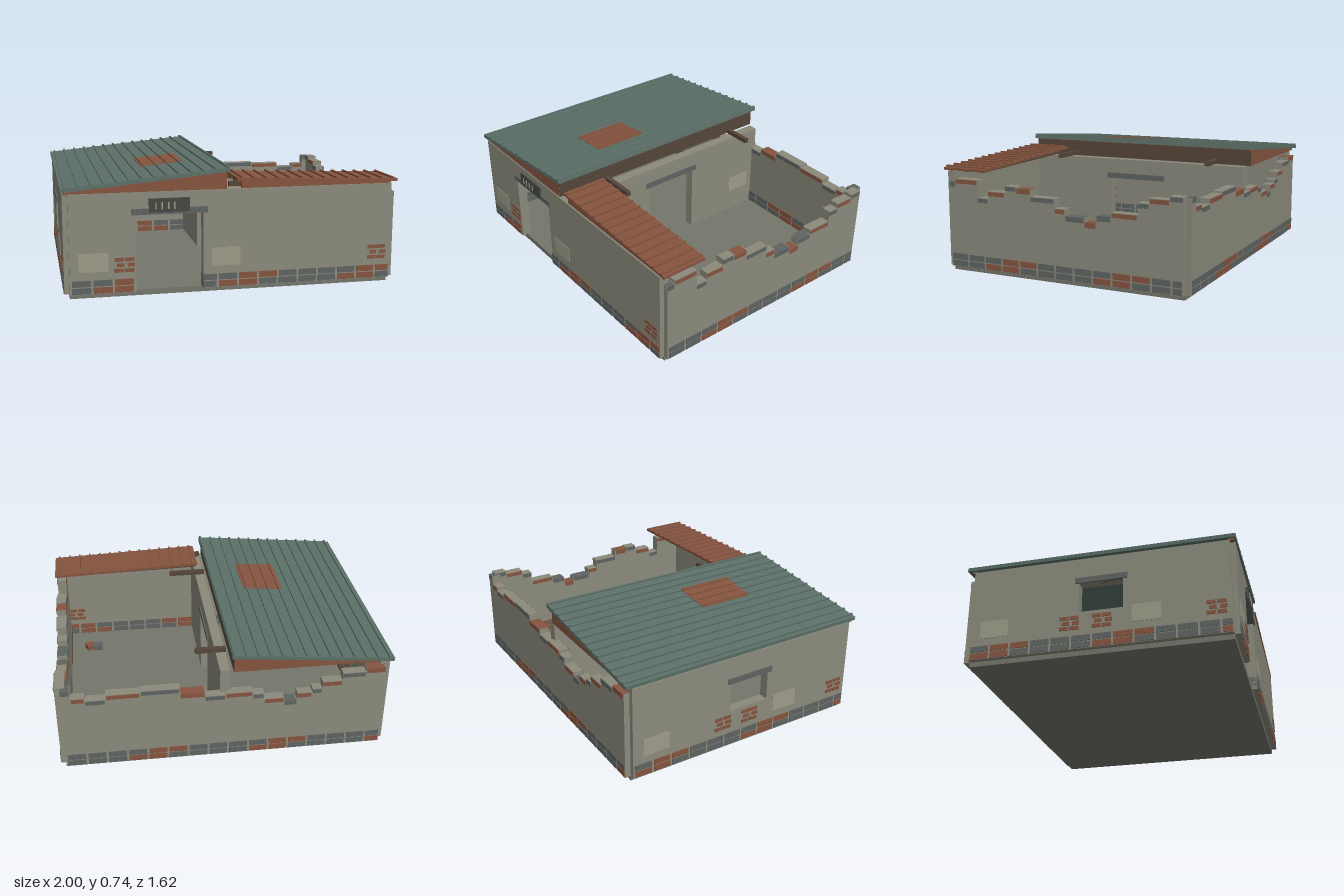
import * as THREE from 'three';

const mats = {};
const mat = (c) => (mats[c] ??= new THREE.MeshStandardMaterial({ color: c, flatShading: true, side: THREE.DoubleSide }));
const WALL = 0x8b8a7c, FLOOR = 0x74756b, RED = 0x85543f, GREY = 0x5e6462, GREEN = 0x5c7068,
  BROWN = 0x55453a, DARK = 0x454840, PALE = 0x9c9b89;

// Box given by its limits on each axis
function block(parent, name, color, x0, x1, y0, y1, z0, z1) {
  const m = new THREE.Mesh(new THREE.BoxGeometry(x1 - x0, y1 - y0, z1 - z0), mat(color));
  m.position.set((x0 + x1) / 2, (y0 + y1) / 2, (z0 + z1) / 2);
  m.name = name;
  parent.add(m);
  return m;
}

// Outline in x and y, extruded along z
function prism(parent, name, color, points, z0, z1) {
  const shape = new THREE.Shape(points.map(([x, y]) => new THREE.Vector2(x, y)));
  const m = new THREE.Mesh(new THREE.ExtrudeGeometry(shape, { depth: z1 - z0, bevelEnabled: false }), mat(color));
  m.position.z = z0;
  m.name = name;
  parent.add(m);
  return m;
}

const T = 0.03; // half the wall thickness
const Y0 = 0.03; // top of the base slab

// Wall frame: local x runs along the wall, local z points outwards
function wallGroup(parent, name, x, z, turn) {
  const g = new THREE.Group();
  g.name = name;
  g.position.set(x, 0, z);
  g.rotation.y = turn;
  parent.add(g);
  return g;
}

// Two courses of bricks through the foot of a wall, leaving out a gap
function courses(g, half, seed, gap = [9, 9]) {
  for (let row = 0; row < 2; row++) {
    const y = 0.033 + row * 0.042;
    for (let i = 0, u = -half + 0.012; u < half - 0.02; u += 0.1215, i++) {
      const end = Math.min(u + 0.108, half - 0.005);
      const red = (i * 5 + row * 7 + seed) % 6 < 2;
      const parts = [[u, Math.min(end, gap[0])], [Math.max(u, gap[1]), end]];
      for (const [a, b] of parts)
        if (b - a > 0.012) block(g, 'courseBrick', red ? RED : GREY, a, b, y, y + 0.036, -T - 0.004, T + 0.004);
    }
  }
}

// Small cluster of exposed bricks
function brickPatch(g, u, y = 0.15, d = T) {
  for (let r = 0; r < 3; r++)
    for (let k = 0; k < 2; k++) {
      const a = u + k * 0.06 + (r === 1 ? 0.015 : 0);
      block(g, 'exposedBrick', RED, a, a + (r === 1 ? 0.042 : 0.053), y + r * 0.032, y + r * 0.032 + 0.022, -d - 0.004, d + 0.004);
    }
}

const plaster = (g, u, y = 0.16) => block(g, 'plasterPatch', PALE, u, u + 0.17, y, y + 0.108, T - 0.01, T + 0.003);

// Solid wall with one opening and a lintel over it
function openWall(g, half, top, a, b, sill, head, lintelDepth) {
  block(g, 'wall', WALL, -half, a, Y0, top, -T, T);
  block(g, 'wall', WALL, b, half, Y0, top, -T, T);
  block(g, 'wallOverOpening', WALL, a, b, head, top, -T, T);
  if (sill > Y0) block(g, 'wallUnderOpening', WALL, a, b, Y0, sill, -T, T);
  block(g, 'lintel', GREY, a - 0.025, b + 0.025, head, head + 0.035, -T - lintelDepth, T + lintelDepth);
}

// Broken wall: steps of [end, top], each capped with a loose brick
function brokenWall(g, start, steps) {
  let u = start;
  const outline = [[start, Y0]];
  steps.forEach(([end, top], i) => {
    outline.push([u, top], [end, top]);
    const colored = top < 0.41 || i % 5 === 0;
    block(g, 'capBrick', i % 2 ? RED : GREY, u + 0.003, end - 0.006, top - 0.028, top + (colored ? 0.002 : -0.003), -T - 0.004, T + 0.004);
    u = end;
  });
  outline.push([u, Y0]);
  prism(g, 'brokenWall', WALL, outline, -T, T);
}

// Sloping sheet with ribs along z; the slope runs from (x0,y0) to (x1,y1) along its underside
function ribbedRoof(parent, name, color, x0, y0, x1, y1, z0, z1, thick) {
  const g = new THREE.Group();
  g.name = name;
  g.position.set(x0, y0, 0);
  g.rotation.z = Math.atan2(y1 - y0, x1 - x0);
  const len = Math.hypot(x1 - x0, y1 - y0);
  block(g, 'roofSheet', color, 0, len, 0, thick, z0, z1);
  for (let u = 0.03; u < len; u += 0.0715)
    block(g, 'roofRib', color, u - 0.006, u + 0.006, thick - 0.002, thick + 0.01, z0, z1);
  parent.add(g);
  return g;
}

export function createModel() {
  const model = new THREE.Group();
  model.name = 'ruinedHouse';
  block(model, 'baseSlab', FLOOR, -0.96, 0.96, 0, Y0 + 0.004, -0.765, 0.765);

  // Front wall with doorway, vent and patches
  const front = wallGroup(model, 'frontWall', 0, 0.765, 0);
  openWall(front, 0.96, 0.61, -0.58, -0.19, Y0, 0.48, 0.008);
  courses(front, 0.96, 2, [-0.58, -0.19]);
  plaster(front, -0.91);
  plaster(front, -0.14);
  brickPatch(front, -0.705);
  brickPatch(front, 0.82);
  block(front, 'ventPanel', DARK, -0.505, -0.27, 0.492, 0.572, 0, T + 0.012);
  for (let i = 0; i < 4; i++)
    block(front, 'ventBar', PALE, -0.47 + i * 0.036, -0.462 + i * 0.036, 0.51, 0.55, T, T + 0.016);

  // Left wall with window
  const left = wallGroup(model, 'leftWall', -0.96, 0, -Math.PI / 2);
  openWall(left, 0.765, 0.609, -0.11, 0.15, 0.26, 0.445, 0.008);
  courses(left, 0.765, 1);
  plaster(left, -0.7);
  plaster(left, 0.2);
  brickPatch(left, -0.22);
  brickPatch(left, -0.03, 0.15);
  brickPatch(left, 0.62);

  // Broken right wall
  const right = wallGroup(model, 'rightWall', 0.96, 0, Math.PI / 2);
  brokenWall(right, -0.765, [[-0.715, 0.55], [-0.56, 0.57], [-0.485, 0.465], [-0.365, 0.51], [-0.285, 0.55],
    [-0.19, 0.54], [-0.03, 0.5], [0.04, 0.445], [0.165, 0.405], [0.24, 0.38], [0.335, 0.425], [0.495, 0.452],
    [0.565, 0.52], [0.685, 0.55], [0.765, 0.57]]);
  courses(right, 0.765, 3);

  // Broken back wall
  const back = wallGroup(model, 'backWall', 0, -0.77, Math.PI);
  brokenWall(back, -0.96, [[-0.9, 0.565], [-0.82, 0.51], [-0.7, 0.49], [-0.5, 0.52], [-0.27, 0.53], [-0.12, 0.49],
    [0, 0.46], [0.16, 0.47], [0.23, 0.45], [0.35, 0.41], [0.43, 0.385], [0.52, 0.432], [0.58, 0.455],
    [0.7, 0.5], [0.84, 0.55], [0.96, 0.57]]);
  courses(back, 0.96, 4);

  // Inner partition with doorway
  const inner = wallGroup(model, 'partitionWall', 0, 0, Math.PI / 2);
  openWall(inner, 0.765, 0.608, -0.165, 0.195, Y0, 0.48, 0.008);
  plaster(inner, 0.53, 0.18);

  // Main roof: sheet, patch of bare sheet, gables and supporting board
  const roof = ribbedRoof(model, 'mainRoof', GREEN, -0.998, 0.62, -0.033, 0.712, -0.81, 0.8, 0.022);
  block(roof, 'rustPatch', RED, 0.51, 0.77, 0.015, 0.026, 0.02, 0.37);
  for (let u = 0.53; u < 0.77; u += 0.0715)
    block(roof, 'rustRib', RED, u - 0.008, u + 0.008, 0.02, 0.034, 0.02, 0.37);
  const gable = [[-0.985, 0.607], [-0.05, 0.607], [-0.05, 0.712], [-0.985, 0.623]];
  prism(model, 'frontGable', RED, gable, 0.755, 0.788);
  prism(model, 'backGable', RED, gable, -0.785, -0.755);
  block(model, 'ridgeBoard', BROWN, -0.078, -0.048, 0.607, 0.706, -0.784, 0.786);

  // Small rusty roof over the front right corner
  ribbedRoof(model, 'rustyRoof', RED, 0.01, 0.655, 0.998, 0.62, 0.51, 0.795, 0.016);
  prism(model, 'rustyGable', RED, [[0.04, 0.607], [0.96, 0.607], [0.96, 0.623], [0.04, 0.655]], 0.765, 0.785);
  for (const z of [0.54, 0.65])
    prism(model, 'roofBatten', BROWN, [[0.02, 0.63], [0.96, 0.61], [0.96, 0.623], [0.02, 0.656]], z, z + 0.02);

  // Broken roof beams resting on the partition
  for (const [z, end] of [[-0.565, 0.155], [0.455, 0.21], [0.74, 0.05]])
    block(model, 'brokenBeam', BROWN, -0.03, end, 0.618, 0.645, z - 0.014, z + 0.014);

  // Loose bricks on the floor
  for (const [x, z, turn, c] of [[0.725, -0.65, 0, GREY], [0.73, -0.59, 0.7, GREY], [0.79, -0.65, 0.35, RED],
    [0.79, -0.58, -0.5, RED], [0.74, 0.5, 0, GREY], [0.795, 0.51, 0.35, RED]]) {
    const b = block(model, 'looseBrick', c, x - 0.03, x + 0.03, Y0, Y0 + 0.04, z - 0.03, z + 0.03);
    b.rotation.y = turn;
  }
  return model;
}
